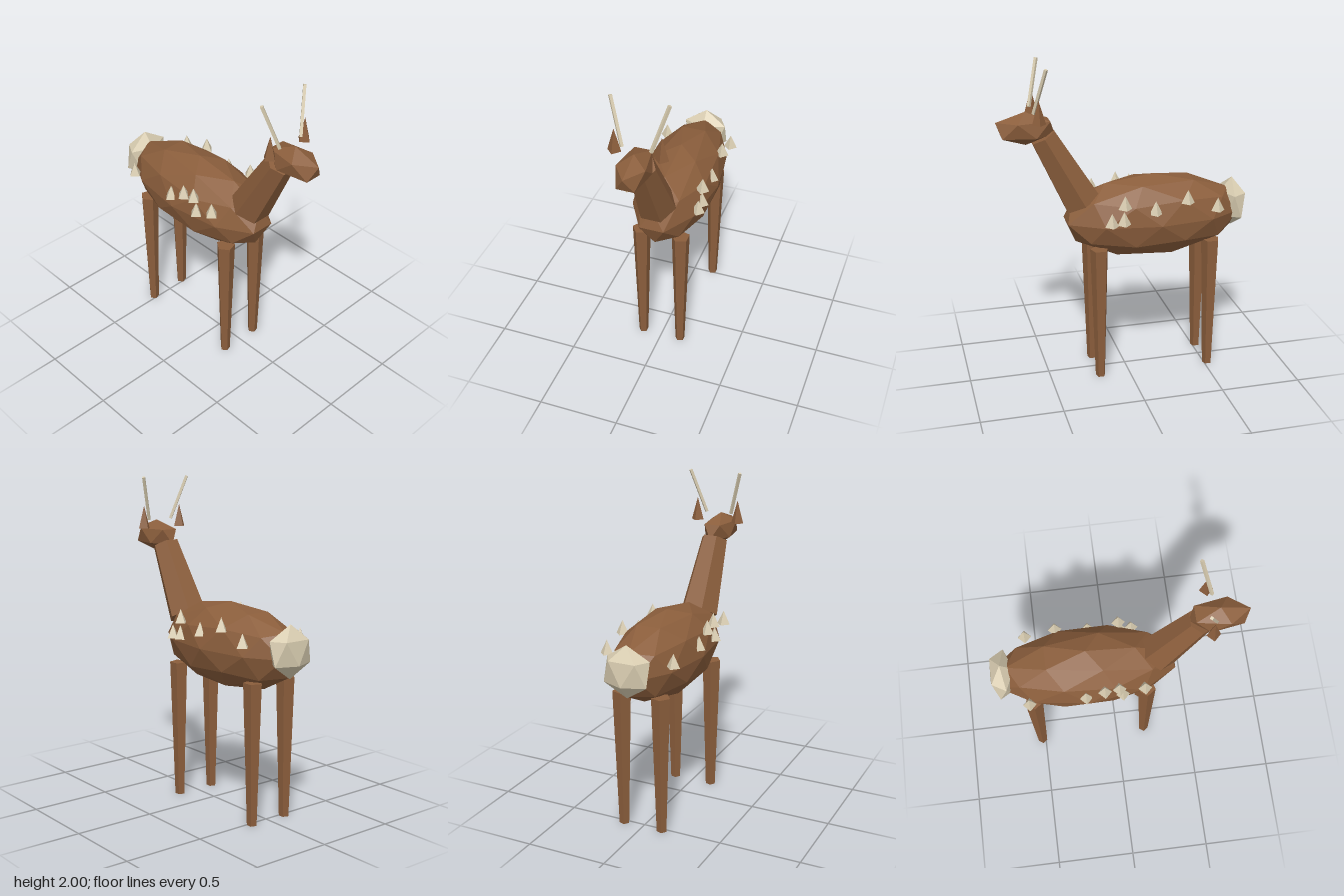
import * as THREE from 'three';

const fur = new THREE.MeshStandardMaterial({ color: 0x8b5e3c, flatShading: true });
fur.name = 'brown fur';
const cream = new THREE.MeshStandardMaterial({ color: 0xd8ccb0, flatShading: true });
cream.name = 'cream horn';

export function createModel() {
  const model = new THREE.Group();
  model.name = 'deer';

  const add = (name, geometry, material, x, y, z) => {
    const mesh = new THREE.Mesh(geometry, material);
    mesh.name = name;
    mesh.position.set(x, y, z);
    model.add(mesh);
    return mesh;
  };

  // Faceted ellipsoid: an icosphere turned so that one corner points straight up
  const ellipsoid = (detail, rx, ry, rz) =>
    new THREE.IcosahedronGeometry(1, detail)
      .rotateZ(-Math.atan(2 / (1 + Math.sqrt(5))))
      .scale(rx, ry, rz);

  // Tapered prism whose axis runs between two points
  const prism = (name, material, from, to, r0, r1, sides) => {
    const a = new THREE.Vector3(...from);
    const b = new THREE.Vector3(...to);
    const axis = b.clone().sub(a);
    const mid = a.clone().add(b).multiplyScalar(0.5);
    const mesh = add(name, new THREE.CylinderGeometry(r1, r0, axis.length(), sides), material, mid.x, mid.y, mid.z);
    mesh.quaternion.setFromUnitVectors(new THREE.Vector3(0, 1, 0), axis.normalize());
  };

  // Trunk, head and tail
  add('body', ellipsoid(1, 0.572, 0.261, 0.243), fur, -0.175, 1.021, -0.004);
  add('head', ellipsoid(0, 0.195, 0.1, 0.1), fur, 0.598, 1.619, 0);
  add('tail', ellipsoid(0, 0.086, 0.159, 0.159), cream, -0.692, 1.058, 0);
  prism('neck', fur, [0.267, 1.14, 0], [0.497, 1.566, 0], 0.124, 0.086, 6);

  for (const side of [1, -1]) {
    const label = side > 0 ? 'near' : 'far';
    // Five-sided legs
    prism(label + 'FrontLeg', fur, [0.188, 0, side * 0.127], [0.188, 0.865, side * 0.127], 0.031, 0.058, 5);
    prism(label + 'RearLeg', fur, [-0.521, 0, side * 0.127], [-0.521, 0.865, side * 0.127], 0.031, 0.058, 5);
    // Ears and antlers
    add(label + 'Ear', new THREE.ConeGeometry(0.041, 0.143, 4), fur, 0.538, 1.745, side * 0.138);
    prism(label + 'Antler', cream, [0.56, 1.725, side * 0.084], [0.495, 1.997, side * 0.168], 0.012, 0.012, 4);
  }

  // Small spots standing out along each flank: [x, y of middle]
  const spots = {
    near: [[-0.54, 1.11], [-0.198, 1.11], [-0.083, 1.175], [0.005, 1.195], [0.026, 1.1], [0.16, 1.165]],
    far: [[-0.53, 1.125], [-0.34, 1.19], [-0.14, 1.135], [0.05, 1.185], [0.055, 1.085], [0.13, 1.08]],
  };
  for (const [label, list] of Object.entries(spots)) {
    const z = label === 'near' ? 0.217 : -0.217;
    for (const [x, y] of list) {
      add(label + 'Spot', new THREE.ConeGeometry(0.042, 0.084, 4), cream, x, y, z);
    }
  }
  return model;
}
